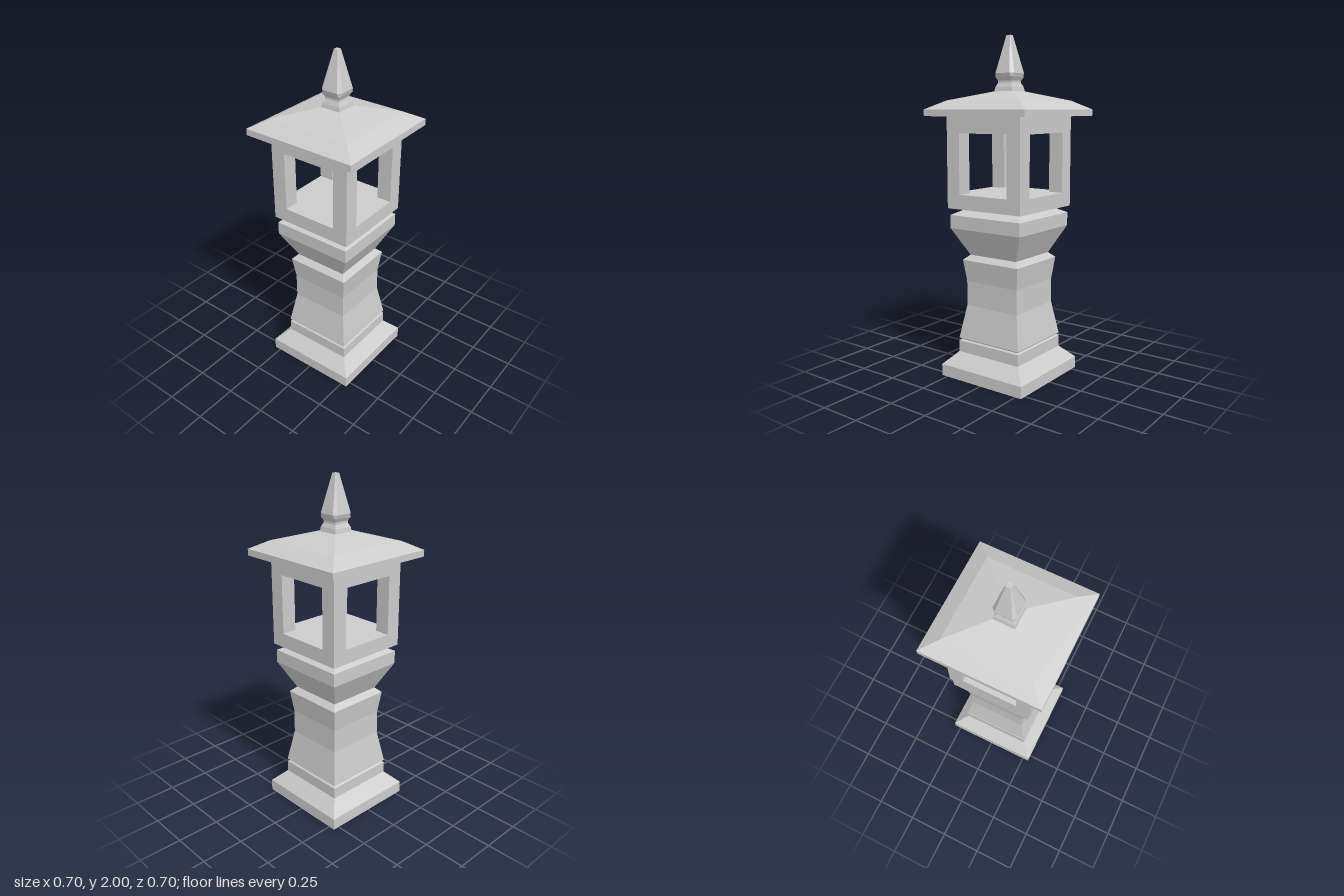
import * as THREE from 'three';
import { ConvexGeometry } from 'three/addons/geometries/ConvexGeometry.js';

const stone = new THREE.MeshStandardMaterial({ color: 0xcccccc, flatShading: true });

export function createModel() {
  const group = new THREE.Group();

  const add = (name, geometry, x = 0, y = 0, z = 0) => {
    const mesh = new THREE.Mesh(geometry, stone);
    mesh.name = name;
    mesh.position.set(x, y, z);
    group.add(mesh);
  };

  // Square turned body from [half width, height] pairs, bottom to top, capped at both ends
  const squareTurned = (name, profile) => {
    const points = profile.map(([half, y]) => new THREE.Vector2(half * Math.SQRT2, y));
    points.unshift(new THREE.Vector2(0, profile[0][1]));
    points.push(new THREE.Vector2(0, profile[profile.length - 1][1]));
    const geometry = new THREE.LatheGeometry(points, 4, Math.PI / 4).toNonIndexed();
    geometry.computeVertexNormals();
    add(name, geometry);
  };

  // Pedestal
  squareTurned('base', [[0.29, 0], [0.29, 0.07], [0.215, 0.145], [0.215, 0.213], [0.205, 0.221]]);
  squareTurned('shaft', [[0.205, 0.221], [0.215, 0.23], [0.18, 0.43], [0.18, 0.575], [0.197, 0.705], [0.165, 0.735]]);
  squareTurned('capital', [[0.165, 0.735], [0.247, 0.897], [0.247, 0.975], [0.17, 1.015]]);

  // Lantern chamber: solid floor, corner posts and a ring of top beams
  const outer = 0.257, inner = 0.167, floorTop = 1.1, openTop = 1.45, top = 1.545;
  const wall = outer - inner, mid = (outer + inner) / 2;
  squareTurned('chamberFloor', [[outer, 1.015], [outer, floorTop]]);
  for (const x of [-mid, mid]) {
    for (const z of [-mid, mid]) {
      add('cornerPost', new THREE.BoxGeometry(wall, top - floorTop, wall), x, (top + floorTop) / 2, z);
    }
  }
  for (const side of [-mid, mid]) {
    const y = (openTop + top) / 2, h = top - openTop;
    add('topBeam', new THREE.BoxGeometry(inner * 2, h, wall), 0, y, side);
    add('topBeam', new THREE.BoxGeometry(wall, h, inner * 2), side, y, 0);
  }

  // Roof and finial neck
  squareTurned('roof', [[0.348, top], [0.348, 1.583], [0.257, 1.633], [0.063, 1.685]]);
  squareTurned('finialNeck', [[0.063, 1.683], [0.058, 1.71], [0.047, 1.733], [0.047, 1.745], [0.06, 1.768]]);

  // Finial spike with chamfered corners, tapering to a small square tip
  const spike = [];
  const ring = (y, half, flat) => {
    for (const sx of [-1, 1]) for (const sz of [-1, 1]) {
      spike.push(new THREE.Vector3(sx * half, y, sz * flat), new THREE.Vector3(sx * flat, y, sz * half));
    }
  };
  ring(1.765, 0.06, 0.05);
  ring(1.787, 0.067, 0.048);
  ring(2, 0.014, 0.012);
  add('finialSpike', new ConvexGeometry(spike));

  return group;
}
